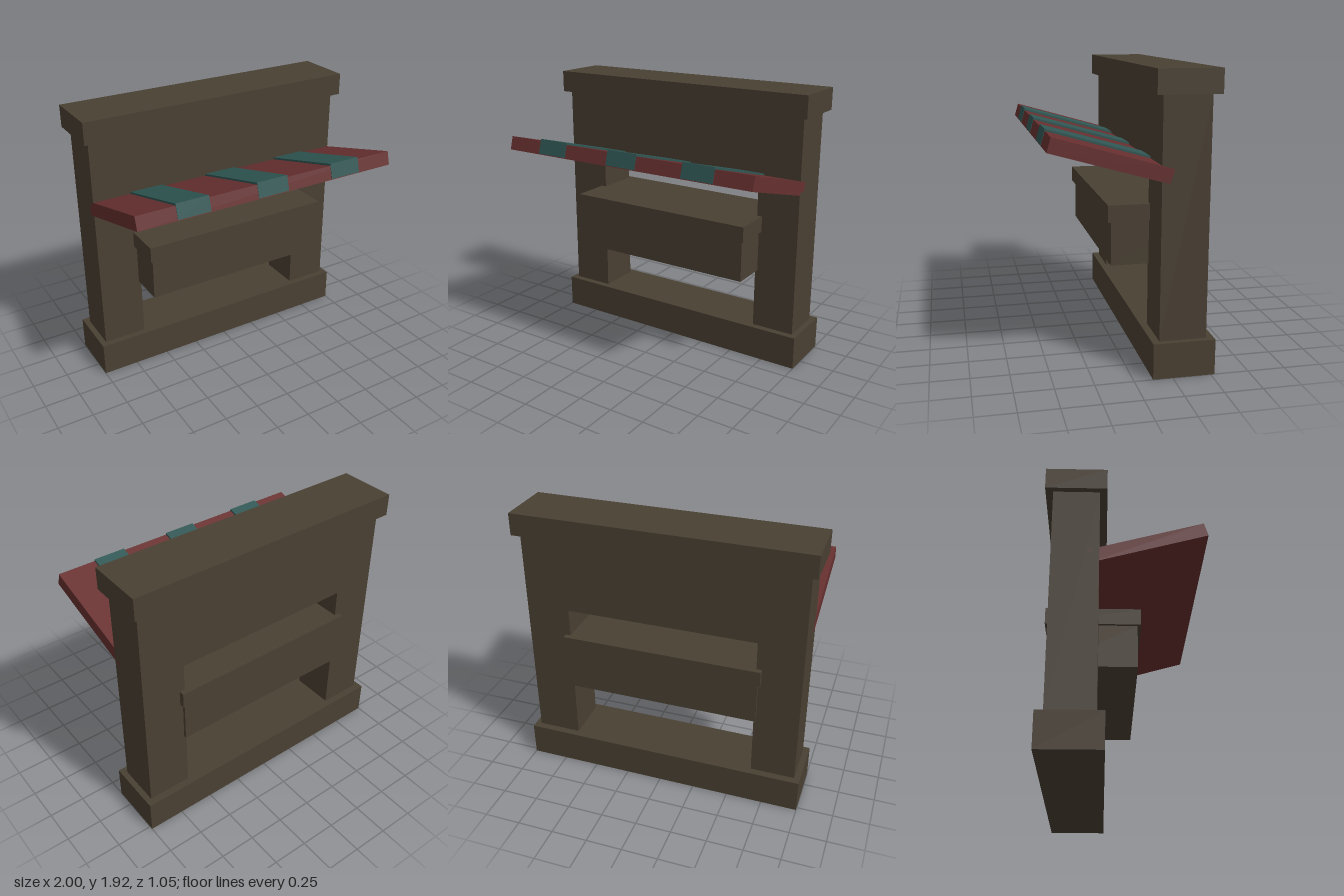
import * as THREE from 'three';

export function createModel() {
  const model = new THREE.Group();
  model.name = 'marketStall';
  const material = (name, color) => {
    const m = new THREE.MeshStandardMaterial({ color });
    m.name = name;
    return m;
  };
  const wood = material('brown wood', 0x4a4033);
  const red = material('dark red cloth', 0x672f2f);
  const teal = material('teal cloth', 0x2f5653);

  // Box given by its lower and upper limits on each axis
  const box = (name, mat, [x0, x1], [y0, y1], [z0, z1], parent = model) => {
    const mesh = new THREE.Mesh(new THREE.BoxGeometry(x1 - x0, y1 - y0, z1 - z0), mat);
    mesh.position.set((x0 + x1) / 2, (y0 + y1) / 2, (z0 + z1) / 2);
    mesh.name = name;
    parent.add(mesh);
  };

  // Base and top beams
  box('base', wood, [-1, 1], [0, 0.235], [-0.525, -0.122]);
  box('topBeam', wood, [-1, 1], [1.773, 1.925], [-0.525, -0.122]);

  // Wall with the serving opening between its two legs
  const outline = new THREE.Shape([
    [-0.96, 0.235], [-0.655, 0.235], [-0.655, 1.25], [0.655, 1.25],
    [0.655, 0.235], [0.96, 0.235], [0.96, 1.773], [-0.96, 1.773],
  ].map(([x, y]) => new THREE.Vector2(x, y)));
  const wall = new THREE.Mesh(
    new THREE.ExtrudeGeometry(outline, { depth: 0.305, bevelEnabled: false }), wood);
  wall.position.z = -0.475;
  wall.name = 'wall';
  model.add(wall);

  // Counter through the opening
  box('counterBody', wood, [-0.672, 0.672], [0.657, 0.947], [-0.495, 0.08]);
  box('counterTop', wood, [-0.692, 0.692], [0.947, 1.058], [-0.512, 0.102]);

  // Sloping awning, pivoted on its lower front edge, with raised stripes
  const awning = new THREE.Group();
  awning.name = 'awning';
  awning.position.set(0, 1.45, 0.522);
  awning.rotation.x = -THREE.MathUtils.degToRad(16);
  model.add(awning);
  box('awningPanel', red, [-0.96, 0.96], [0, 0.095], [-0.775, 0], awning);
  for (const x of [-0.577, 0, 0.577]) {
    box('awningStripe', teal, [x - 0.115, x + 0.115], [0.005, 0.108], [-0.765, 0.003], awning);
  }
  return model;
}
